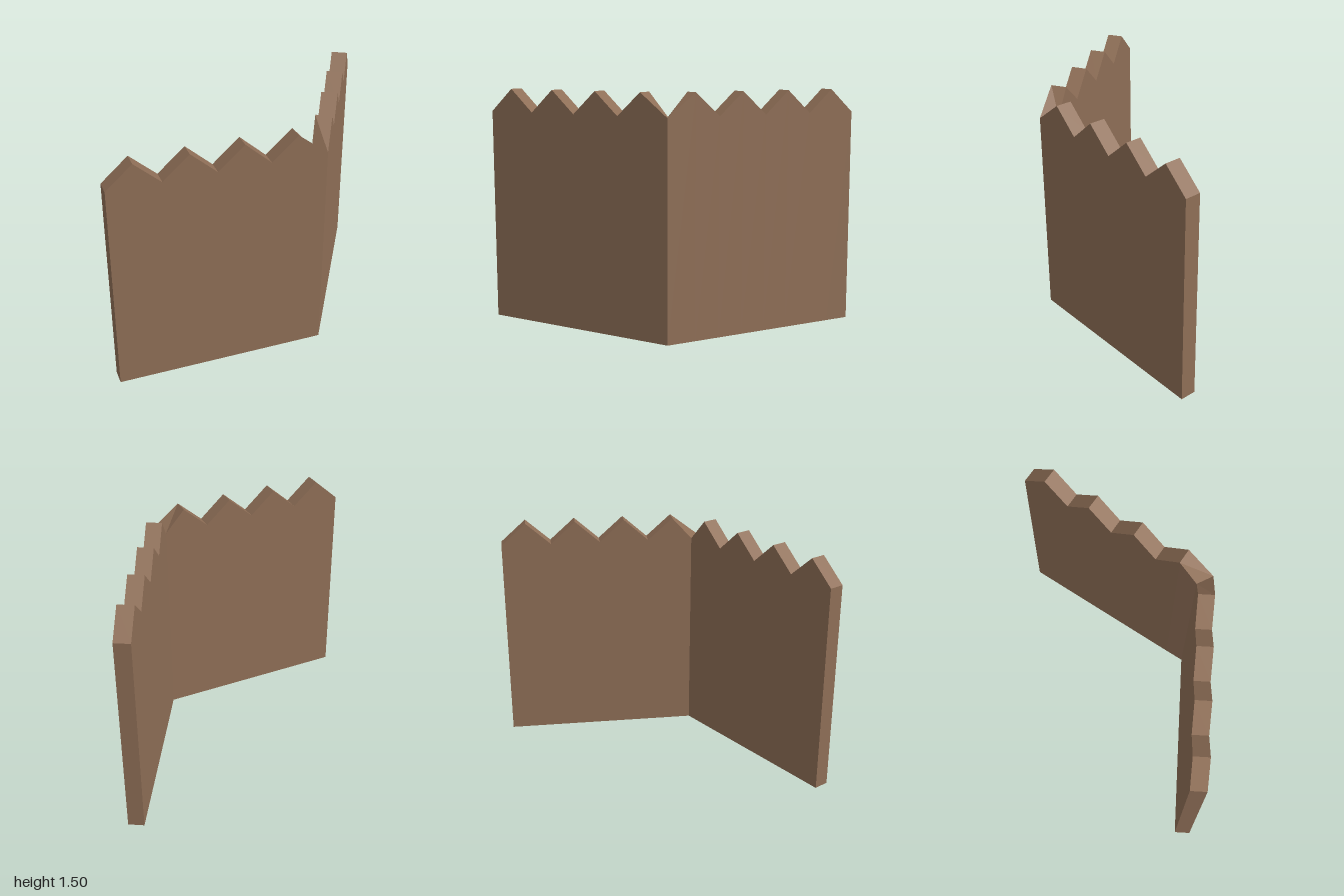
import * as THREE from 'three';

const VALLEY = 1.355, PEAK = 1.5;

// Distances from the shared corner to each valley / peak, alternating
const FIRST_PEAK = 0.188, HALF = 0.1625, STEPS = 8;
const steps = [0];
for (let i = 0; i < STEPS; i++) steps.push(FIRST_PEAK + i * HALF);
const LENGTH = steps[STEPS];

// One wall from upright cross-sections { o: [x, z], i: [x, z], h }
function wallGeometry(sections, capStart, capEnd) {
  const pos = [];
  const quad = (a, b, c, d) => pos.push(...a, ...b, ...c, ...a, ...c, ...d);
  const corners = ({ o, i, h }) => ({
    ob: [o[0], 0, o[1]], ot: [o[0], h, o[1]],
    ib: [i[0], 0, i[1]], it: [i[0], h, i[1]],
  });
  const c = sections.map(corners);
  for (let k = 0; k < c.length - 1; k++) {
    const a = c[k], b = c[k + 1];
    quad(a.ob, b.ob, b.ot, a.ot); // outer face
    quad(b.ib, a.ib, a.it, b.it); // inner face
    quad(a.ot, b.ot, b.it, a.it); // zigzag top
    quad(a.ib, b.ib, b.ob, a.ob); // underside
  }
  const s = c[0], e = c[c.length - 1];
  if (capStart) quad(s.ib, s.ob, s.ot, s.it);
  if (capEnd) quad(e.ob, e.ib, e.it, e.ot);
  const g = new THREE.BufferGeometry();
  g.setAttribute('position', new THREE.Float32BufferAttribute(pos, 3));
  g.computeVertexNormals();
  return g;
}

export function createModel() {
  const group = new THREE.Group();
  group.name = 'foldedFence';
  const wood = new THREE.MeshStandardMaterial({ color: 0x8f6f57 });
  wood.name = 'brown wood';

  const corner = [0.326, 0.6], mitre = [0.268, 0.5];

  // Sections running from the corner to the free end
  const sectionsTo = (end, inward) => steps.map((d, k) => {
    const t = d / LENGTH;
    const o = [0, 1].map((n) => corner[n] + (end[n] - corner[n]) * t);
    const i = k === 0 ? mitre : [o[0] + inward[0], o[1] + inward[1]];
    return { o, i, h: k % 2 ? PEAK : VALLEY };
  });

  const add = (name, geometry) => {
    const mesh = new THREE.Mesh(geometry, wood);
    mesh.name = name;
    group.add(mesh);
  };

  // Straight wall across the front
  add('frontWall', wallGeometry(sectionsTo([-1, 0.6], [0, -0.1]).reverse(), true, false));
  // Wall angled back from the corner
  add('angledWall', wallGeometry(sectionsTo([1, -0.549], [-0.088, -0.051]), false, true));
  return group;
}
